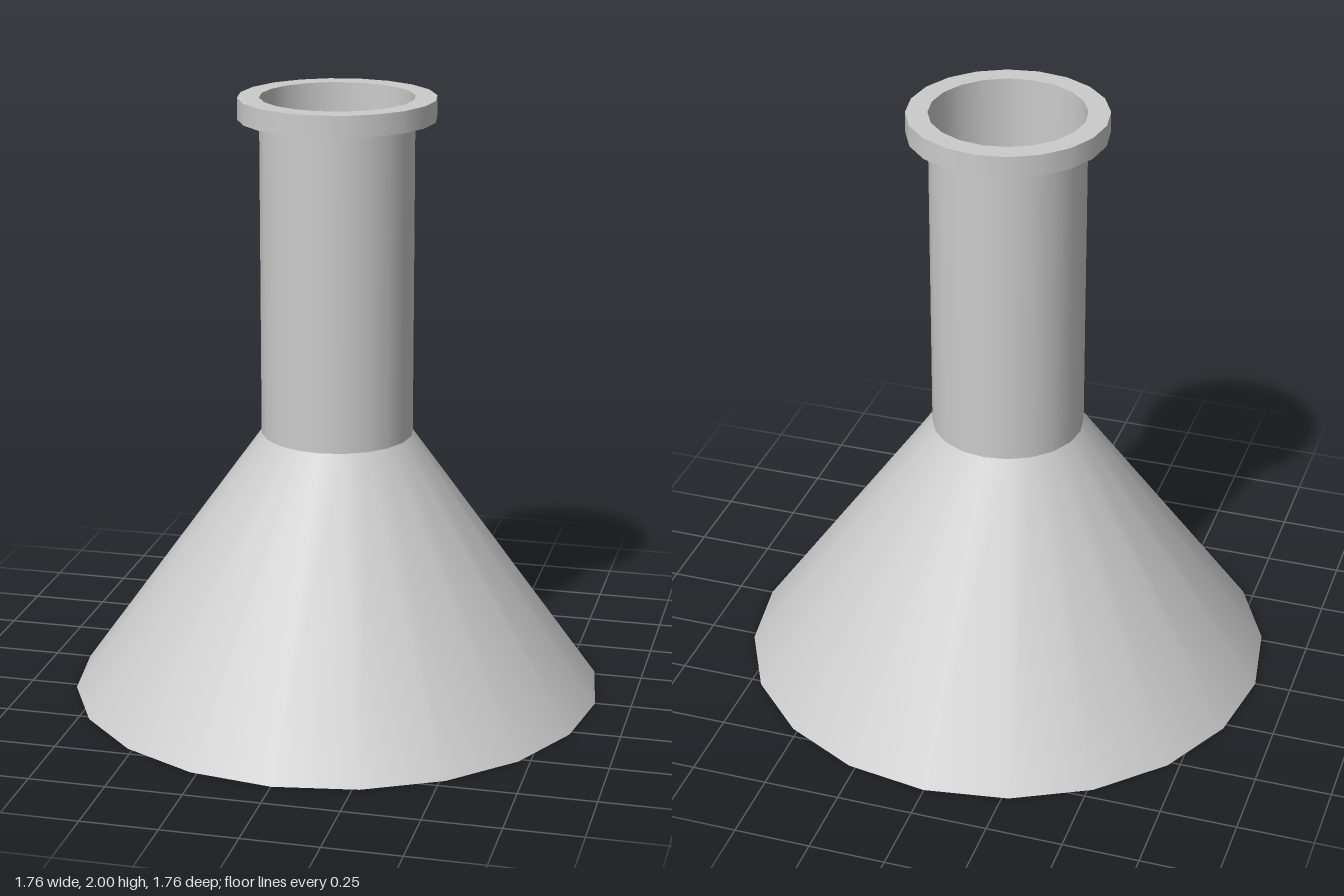
import * as THREE from 'three';

const SIDES = 20;

export function createModel() {
  const flask = new THREE.Group();
  flask.name = 'conicalFlask';
  const material = new THREE.MeshStandardMaterial({ color: 0xcccccc, side: THREE.DoubleSide });

  const add = (name, geometry, y, parent = flask) => {
    const mesh = new THREE.Mesh(geometry, material);
    mesh.name = name;
    mesh.position.y = y;
    parent.add(mesh);
    return mesh;
  };
  // Open wall between two heights, smooth around its axis
  const wall = (name, rTop, rBottom, y0, y1, parent) =>
    add(name, new THREE.CylinderGeometry(rTop, rBottom, y1 - y0, SIDES, 1, true), (y0 + y1) / 2, parent);
  // Flat ring, facing up (1) or down (-1), with its corners on the wall corners
  const ring = (name, inner, outer, y, facing, parent) =>
    add(name, new THREE.RingGeometry(inner, outer, SIDES).rotateX(-facing * Math.PI / 2), y, parent);

  const neckR = 0.25, rimR = 0.32, baseR = 0.88;
  const shoulderY = 0.885, rimY = 1.93, topY = 2;

  // Hollow body, closed underneath and open into the neck
  add('base', new THREE.CircleGeometry(baseR, SIDES).rotateX(Math.PI / 2), 0);
  wall('body', neckR, baseR, 0, shoulderY);
  wall('neck', neckR, neckR, shoulderY, rimY);

  // Collar around the mouth
  const rim = new THREE.Group();
  rim.name = 'rim';
  flask.add(rim);
  wall('rimOuter', rimR, rimR, rimY, topY, rim);
  wall('rimInner', neckR, neckR, rimY, topY, rim);
  ring('rimTop', neckR, rimR, topY, 1, rim);
  ring('rimUnderside', neckR, rimR, rimY, -1, rim);

  return flask;
}
